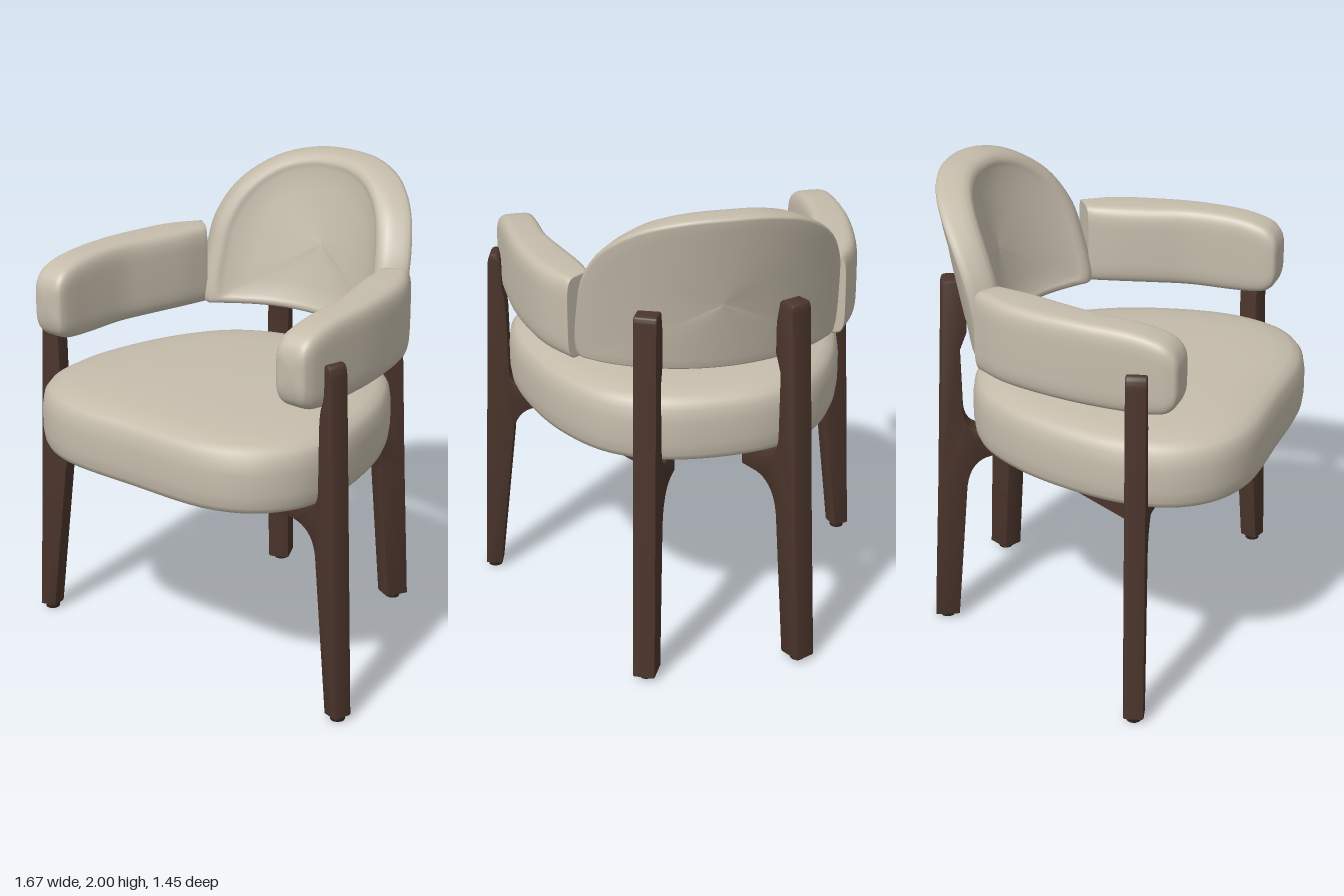
import * as THREE from 'three';
import { toCreasedNormals } from 'three/addons/utils/BufferGeometryUtils.js';

const mat = (name, color) => Object.assign(new THREE.MeshStandardMaterial(), { name, color: new THREE.Color(color) });
const V = (x, y, z) => new THREE.Vector3(x, y, z);

// Closed skin over a list of equally long rings of points
function loft(rings) {
  const n = rings[0].length, index = [];
  for (let i = 0; i < rings.length - 1; i++) {
    for (let j = 0; j < n; j++) {
      const a = i * n + j, b = i * n + (j + 1) % n, c = a + n, d = b + n;
      index.push(a, c, b, b, c, d);
    }
  }
  const geo = new THREE.BufferGeometry().setFromPoints(rings.flat());
  geo.setIndex(index);
  geo.computeVertexNormals();
  return geo;
}

// Smooth closed outline, mirrored in x; half runs from the middle to the middle on the +x side
function outline(half, count) {
  const left = half.slice(1, -1).reverse().map(([x, y]) => [-x, y]);
  const pts = [...half, ...left].map(([x, y]) => V(x, y, 0));
  return new THREE.CatmullRomCurve3(pts, true, 'centripetal').getPoints(count).slice(0, count);
}

// Wooden plate cut from a shape, centred on its thickness
function plank(shape, thickness) {
  const bevel = 0.008;
  const geo = new THREE.ExtrudeGeometry(shape, {
    depth: thickness - 2 * bevel, bevelThickness: bevel, bevelSize: bevel, bevelOffset: -bevel,
    bevelSegments: 2, curveSegments: 10,
  });
  geo.translate(0, 0, -thickness / 2 + bevel);
  return toCreasedNormals(geo, 0.6);
}

function frontLegShape() {
  const s = new THREE.Shape();
  s.moveTo(0.08, 0.02);
  s.lineTo(0.02, 1.45);
  s.quadraticCurveTo(0.018, 1.51, -0.01, 1.51);
  s.quadraticCurveTo(-0.037, 1.51, -0.037, 1.46);
  s.lineTo(-0.037, 1.34);
  s.quadraticCurveTo(-0.05, 1.31, -0.052, 1.24);
  s.lineTo(-0.055, 0.96);
  s.quadraticCurveTo(-0.06, 0.91, -0.1, 0.91);
  s.lineTo(-0.21, 0.91);
  s.lineTo(-0.21, 0.8);
  s.quadraticCurveTo(-0.07, 0.8, -0.064, 0.66);
  s.lineTo(0.01, 0.02);
  return s;
}

function backLegShape() {
  const s = new THREE.Shape();
  s.moveTo(0.062, 0.02);
  s.lineTo(0.03, 0.65);
  s.lineTo(-0.01, 1.56);
  s.quadraticCurveTo(-0.012, 1.59, -0.03, 1.59);
  s.lineTo(-0.11, 1.59);
  s.lineTo(-0.11, 1.36);
  s.lineTo(-0.08, 1.28);
  s.lineTo(-0.085, 1.0);
  s.quadraticCurveTo(-0.09, 0.91, -0.16, 0.91);
  s.lineTo(-0.31, 0.91);
  s.lineTo(-0.31, 0.79);
  s.lineTo(-0.22, 0.79);
  s.quadraticCurveTo(-0.1, 0.78, -0.09, 0.62);
  s.lineTo(-0.04, 0.02);
  return s;
}

// Armrest swept from its rounded front tip to the backrest, s = side
function armGeometry(s) {
  const inner = [[0.625, 1.46, 0.53], [0.575, 1.4, 0.522], [0.56, 1.355, 0.5], [0.555, 1.33, 0.45], [0.555, 1.32, 0.33],
    [0.545, 1.32, 0.15], [0.505, 1.32, 0], [0.465, 1.32, -0.15], [0.445, 1.32, -0.28]];
  const outer = [[0.655, 1.52, 0.53], [0.695, 1.565, 0.522], [0.71, 1.605, 0.5], [0.72, 1.637, 0.45], [0.722, 1.662, 0.33],
    [0.718, 1.67, 0.12], [0.69, 1.67, -0.08], [0.645, 1.67, -0.24], [0.565, 1.665, -0.37]];
  const [a, b] = [inner, outer].map(p => new THREE.CatmullRomCurve3(p.map(q => V(...q)), false, 'catmullrom', 0.5));
  const round = v => Math.sign(v) * Math.abs(v) ** 0.42;
  const rings = [];
  const ring = (t, k) => {
    const p = a.getPoint(t), q = b.getPoint(t), pts = [];
    for (let j = 0; j < 40; j++) {
      const ang = s * j / 40 * Math.PI * 2;
      const u = 0.5 + 0.5 * k * round(Math.cos(ang)), v = 0.5 + 0.5 * k * round(Math.sin(ang));
      pts.push(V(s * THREE.MathUtils.lerp(p.x, q.x, u), THREE.MathUtils.lerp(p.y, q.y, v), THREE.MathUtils.lerp(p.z, q.z, u)));
    }
    rings.push(pts);
  };
  ring(0, 0);
  for (let i = 0; i <= 40; i++) ring(i / 40, 1);
  ring(1, 0.96);
  ring(1, 0);
  return loft(rings);
}

export function createModel() {
  const chair = new THREE.Group();
  chair.name = 'armchair';
  const fabric = mat('cream fabric', 0xc5bcab);
  const wood = mat('dark walnut', 0x4b352c);
  const lining = mat('dark underside lining', 0x2e2b24);
  const glideMat = mat('glide brown', 0x33241e);
  const add = (name, geo, material, parent = chair) => {
    const m = new THREE.Mesh(geo, material);
    m.name = name;
    parent.add(m);
    return m;
  };

  // Seat cushion: one outline scaled through a crowned profile
  const seatLine = outline([[0, -0.56], [0.25, -0.525], [0.44, -0.41], [0.58, -0.2], [0.665, 0.05], [0.7, 0.3],
    [0.665, 0.5], [0.56, 0.64], [0.38, 0.722], [0, 0.735]], 96);
  const seatRing = ([k, y]) => seatLine.map(p => V(p.x * k, y, 0.09 + (p.y - 0.09) * k));
  add('seatCushion', loft([[0.95, 0.91], [0.975, 0.917], [0.99, 0.94], [1, 0.99], [1, 1.08], [0.988, 1.135], [0.96, 1.163],
    [0.91, 1.183], [0.8, 1.202], [0.6, 1.214], [0.3, 1.221], [0, 1.222]].map(seatRing)), fabric);
  add('seatUnderside', loft([[0, 0.909], [0.5, 0.909], [0.965, 0.909]].map(seatRing)), lining);

  // Backrest: domed outline bent round a leaning cylinder
  const backLine = outline([[0, 2], [0.18, 1.987], [0.34, 1.935], [0.46, 1.835], [0.523, 1.7], [0.54, 1.55], [0.54, 1.36],
    [0.525, 1.325], [0.48, 1.32], [0.25, 1.32], [0, 1.32]], 112);
  const backRing = ([k, r]) => backLine.map(p => {
    const angle = Math.asin(p.x / 0.73) * k, y = 1.62 + (p.y - 1.62) * k;
    return V(r * Math.sin(angle), y, 0.11 - 0.22 * (y - 1.55) - r * Math.cos(angle));
  });
  add('backrest', loft([[0, 0.73], [0.3, 0.73], [0.6, 0.73], [0.85, 0.73], [0.96, 0.73], [0.985, 0.726], [0.997, 0.712],
    [1, 0.69], [1, 0.65], [0.99, 0.62], [0.965, 0.598], [0.92, 0.587], [0.87, 0.588], [0.82, 0.598], [0.6, 0.602],
    [0.3, 0.602], [0, 0.602]].map(backRing)), fabric);

  // Legs, each in a vertical plane facing outward
  const leg = (name, shape, thickness, x, z, dx, dz, footAt) => {
    const g = new THREE.Group();
    g.name = name;
    g.position.set(x, 0, z);
    g.rotation.y = Math.atan2(-dz, dx);
    add(name + 'Wood', plank(shape, thickness), wood, g);
    add(name + 'Glide', new THREE.CylinderGeometry(0.032, 0.03, 0.026, 16), glideMat, g).position.set(footAt, 0.013, 0);
    chair.add(g);
  };

  for (const s of [1, -1]) {
    const side = s > 0 ? 'left' : 'right';
    add(side + 'Armrest', armGeometry(s), fabric);
    leg(side + 'FrontLeg', frontLegShape(), 0.085, s * 0.75, 0.38, s * 0.96, 0.26, 0.045);
    leg(side + 'BackLeg', backLegShape(), 0.095, s * 0.315, -0.64, s * 0.43, -0.9, 0.011);

    // Side rail from the front leg to the back bracket
    const rail = add(side + 'SideRail', new THREE.BoxGeometry(0.075, 0.117, 0.8), wood);
    rail.position.set(s * 0.385, 0.85, -0.015);
    rail.rotation.y = s * Math.atan2(0.38, 0.69);
  }

  // Front rail with a shallow arch
  const arch = new THREE.Shape();
  arch.moveTo(-0.57, 0.8);
  arch.quadraticCurveTo(0, 0.862, 0.57, 0.8);
  arch.lineTo(0.57, 0.91);
  arch.lineTo(-0.57, 0.91);
  add('frontRail', plank(arch, 0.085), wood).position.z = 0.325;

  return chair;
}
